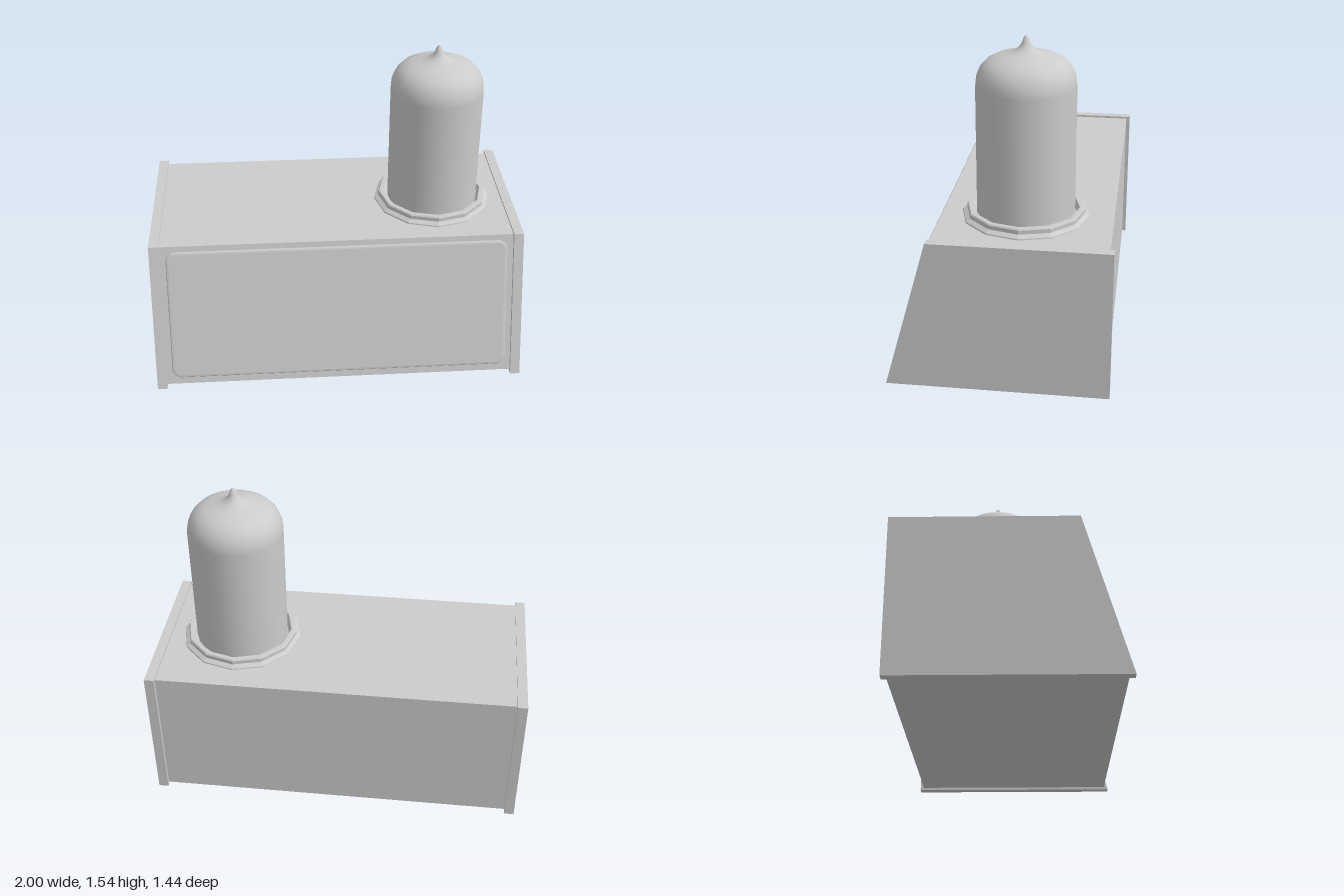
import * as THREE from 'three';

const material = new THREE.MeshStandardMaterial({ color: 0xcccccc });

function addMesh(parent, name, geometry, mat = material) {
  const mesh = new THREE.Mesh(geometry, mat);
  mesh.name = name;
  parent.add(mesh);
  return mesh;
}

// Prism with a (z, y) profile, extruded along x and centred on x = 0
function prism(profile, width) {
  const shape = new THREE.Shape(profile.map(([z, y]) => new THREE.Vector2(z, y)));
  const geometry = new THREE.ExtrudeGeometry(shape, { depth: width, bevelEnabled: false });
  return geometry.translate(0, 0, -width / 2).rotateY(-Math.PI / 2);
}

function roundedRect(w, h, r) {
  const s = new THREE.Shape();
  s.absarc(w / 2 - r, h / 2 - r, r, 0, Math.PI / 2);
  s.absarc(-w / 2 + r, h / 2 - r, r, Math.PI / 2, Math.PI);
  s.absarc(-w / 2 + r, -h / 2 + r, r, Math.PI, Math.PI * 1.5);
  s.absarc(w / 2 - r, -h / 2 + r, r, Math.PI * 1.5, Math.PI * 2);
  s.closePath();
  return s;
}

function lathe(points, sides) {
  return new THREE.LatheGeometry(points.map(([r, y]) => new THREE.Vector2(r, y)), sides);
}

export function createModel() {
  const model = new THREE.Group();
  model.name = 'clockWithTube';
  model.rotation.y = Math.PI / 12;

  // Case with a sloping front, set in slightly from the end panels
  addMesh(model, 'case', prism([[-0.487, 0.013], [0.484, 0.013], [0.291, 0.7], [-0.487, 0.7]], 1.72));

  // End panels
  for (const side of [-1, 1]) {
    const panel = addMesh(model, side < 0 ? 'rightEndPanel' : 'leftEndPanel',
      prism([[-0.505, 0], [0.505, 0], [0.306, 0.71], [-0.505, 0.71]], 0.047));
    panel.position.x = side * 0.8765;
  }

  // Raised face plate lying on the slope
  const bevel = 0.012;
  const plate = addMesh(model, 'facePlate', new THREE.ExtrudeGeometry(
    roundedRect(1.646 - 2 * bevel, 0.65 - 2 * bevel, 0.034),
    { depth: 0.01, bevelThickness: 0.006, bevelSize: bevel, bevelSegments: 2, curveSegments: 5 }));
  plate.position.set(0, 0.36, 0.384);
  plate.rotation.x = -Math.atan(0.2 / 0.71);

  // Tube and its faceted socket
  const lamp = new THREE.Group();
  lamp.name = 'lamp';
  lamp.position.set(0.503, 0, -0.083);
  model.add(lamp);

  const socketMaterial = material.clone();
  socketMaterial.flatShading = true;
  addMesh(lamp, 'socketRing', lathe([
    [0.293, 0.698], [0.291, 0.706], [0.271, 0.718], [0.271, 0.736], [0.266, 0.742],
    [0.246, 0.742], [0.232, 0.72], [0.2, 0.712],
  ], 12), socketMaterial);

  addMesh(lamp, 'glassTube', lathe([
    [0.224, 0.7], [0.224, 1.31], [0.22, 1.35], [0.204, 1.39], [0.175, 1.422], [0.135, 1.443],
    [0.09, 1.455], [0.055, 1.467], [0.033, 1.482], [0.019, 1.502], [0.011, 1.526], [0, 1.536],
  ], 24));

  return model;
}
